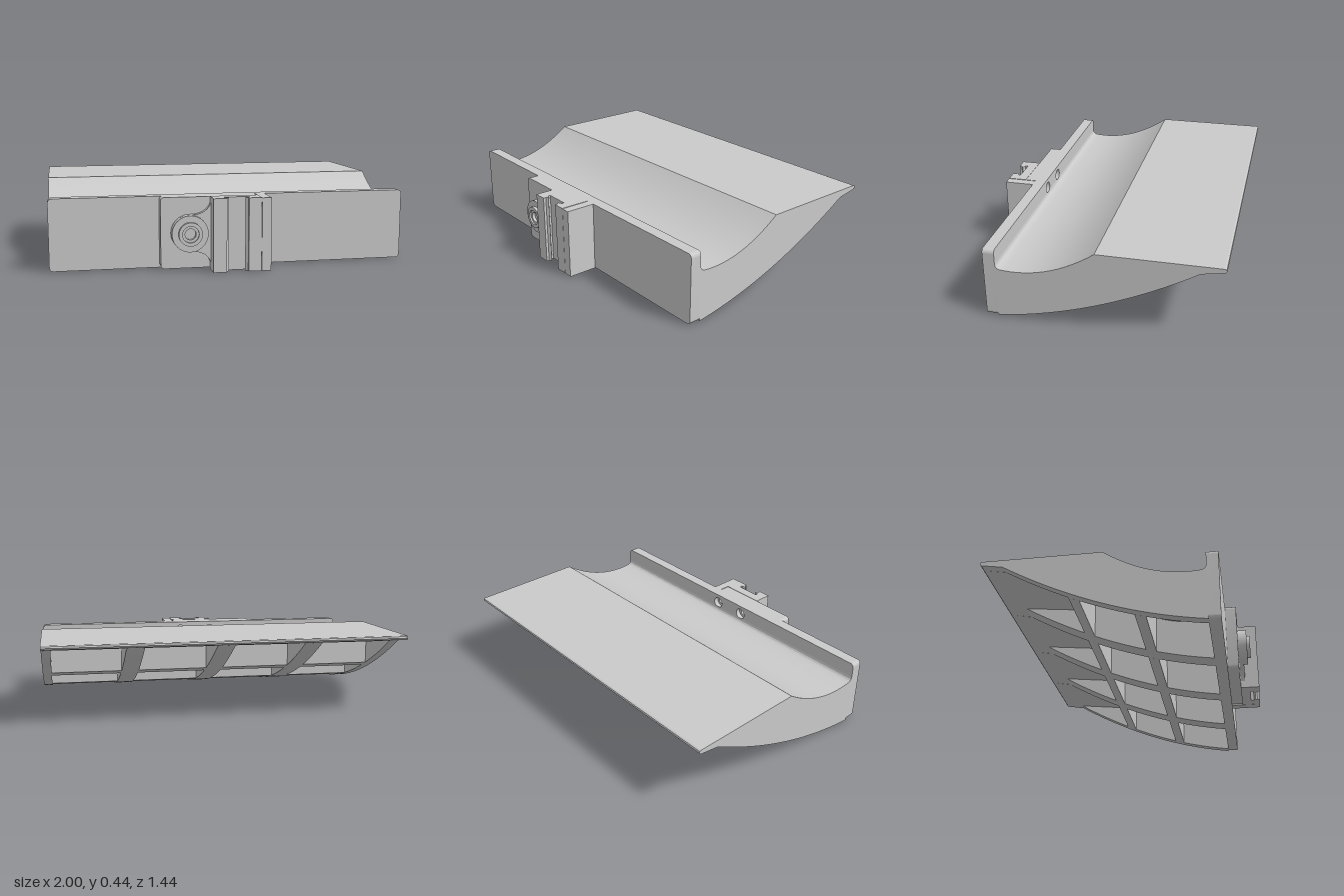
import * as THREE from 'three';
import { toCreasedNormals } from 'three/addons/utils/BufferGeometryUtils.js';

const PLATE_BACK = 0.485, PLATE_FRONT = 0.55;

// Heights of the body surfaces at depth z: upper, lower and pocket ceiling
const topY = (z) => (z < -0.053 ? 0.445 : Math.min(0.445, 0.284 + 0.82 * (0.39 - z) ** 2));
const bottomY = (z) => {
  const t = PLATE_BACK - z;
  return 0.004 + 0.13 * t + 0.222 * t * t;
};
const ceilingY = (z) => (z < -0.2 ? 0.4 - 0.11 * (z + 0.59) : topY(z) - 0.047);

// Points [z, y] along a height function
function sample(from, to, n, height) {
  return Array.from({ length: n + 1 }, (_, i) => {
    const z = from + ((to - from) * i) / n;
    return [z, height(z)];
  });
}

// Side profile of the body; notches are [back, front] pocket ranges open to below
function bodyProfile(notches) {
  const pts = [[PLATE_BACK, 0.315], [0.481, 0.301], [0.473, 0.293], ...sample(0.46, -0.052, 24, topY)];
  pts.push([-0.708, 0.445], [-0.717, 0.441], [-0.72, 0.432], [-0.712, 0.422]);
  let z = -0.592;
  for (const [back, front] of notches) {
    if (back > z) pts.push(...sample(z, back, 4, bottomY));
    pts.push(...sample(back, front, 12, ceilingY));
    z = front;
  }
  if (z < PLATE_BACK) pts.push(...sample(z, PLATE_BACK, 24, bottomY));
  return new THREE.Shape(pts.map(([d, y]) => new THREE.Vector2(-d, y)));
}

// Rectangle with its own corner radius on the left and right
function roundedRect(x0, x1, y0, y1, r, rRight = r) {
  const s = new THREE.Shape();
  s.moveTo(x0 + r, y0);
  s.lineTo(x1 - rRight, y0);
  if (rRight) s.absarc(x1 - rRight, y0 + rRight, rRight, -Math.PI / 2, 0);
  s.lineTo(x1, y1 - rRight);
  if (rRight) s.absarc(x1 - rRight, y1 - rRight, rRight, 0, Math.PI / 2);
  s.lineTo(x0 + r, y1);
  s.absarc(x0 + r, y1 - r, r, Math.PI / 2, Math.PI);
  s.lineTo(x0, y0 + r);
  s.absarc(x0 + r, y0 + r, r, Math.PI, Math.PI * 1.5);
  return s;
}

function circlePath(x, y, r) {
  return new THREE.Path().absarc(x, y, r, 0, Math.PI * 2, true);
}

export function createModel() {
  const model = new THREE.Group();
  model.name = 'trayWithRailClamp';
  const grey = new THREE.MeshStandardMaterial({ color: 0xcacaca });
  grey.name = 'plainGrey';

  const add = (name, geometry, parent = model) => {
    const mesh = new THREE.Mesh(toCreasedNormals(geometry, 0.3), grey);
    mesh.name = name;
    parent.add(mesh);
  };
  const extrude = (shape, depth) =>
    new THREE.ExtrudeGeometry(shape, { depth, bevelEnabled: false, curveSegments: 16 });
  const frontExtrude = (shape, z0, z1) => extrude(shape, z1 - z0).translate(0, 0, z0);

  // Curved body: lengthwise ribs alternating with pocketed spans
  const body = new THREE.Group();
  body.name = 'body';
  model.add(body);
  const solid = bodyProfile([]);
  const pocketed = bodyProfile([[-0.592, -0.24], [-0.18, 0.11], [0.17, PLATE_BACK]]);
  const span = (name, shape, x0, x1) =>
    add(name, extrude(shape, x1 - x0).rotateY(Math.PI / 2).translate(x0, 0, 0), body);
  for (let i = 0; i < 5; i++) {
    const x = -1 + i * 0.5;
    span('lengthwiseRib', solid, Math.max(-1, x - 0.05), Math.min(1, x + 0.05));
    if (i < 4) span('pocketedSpan', pocketed, x + 0.05, x + 0.45);
  }

  // Upright front plate with four screw holes
  const plate = roundedRect(-1, 1, 0.004, 0.4, 0.022);
  for (const x of [-0.11, 0.09]) {
    for (const y of [0.065, 0.345]) {
      plate.holes.push(circlePath(x, y, 0.034));
      const ring = new THREE.Shape().absarc(x, y, 0.034, 0, Math.PI * 2);
      ring.holes.push(circlePath(x, y, 0.018));
      add('screwSeat', frontExtrude(ring, 0.515, PLATE_FRONT));
    }
  }
  add('frontPlate', frontExtrude(plate, PLATE_BACK, PLATE_FRONT));

  // Clamp base and fixed side jaw
  const clamp = new THREE.Group();
  clamp.name = 'railClamp';
  model.add(clamp);
  add('clampBase', frontExtrude(roundedRect(-0.405, 0.128, 0.008, 0.4, 0.02, 0), PLATE_FRONT, 0.613), clamp);
  add('sideJaw', new THREE.BoxGeometry(0.052, 0.4, 0.17).translate(0.159, 0.2, 0.635), clamp);

  // Grooved rail, drawn in plan and extruded upwards
  const groove = [[0.06, 0.72], [0.06, 0.705], [0.045, 0.695], [0.06, 0.685], [0.07, 0.685], [0.07, 0.668]];
  const plan = [
    [-0.134, 0.613], [0.131, 0.613], [0.131, 0.72], ...groove,
    ...groove.map(([x, z]) => [-x, z]).reverse(), [-0.134, 0.72],
  ];
  const rail = new THREE.Shape(plan.map(([x, z]) => new THREE.Vector2(x, -z)));
  add('groovedRail', extrude(rail, 0.402).rotateX(-Math.PI / 2), clamp);

  // Flared tab joining the boss to the rail
  const tab = new THREE.Shape();
  tab.moveTo(-0.13, 0.03);
  tab.quadraticCurveTo(-0.15, 0.105, -0.25, 0.105);
  tab.absarc(-0.25, 0.205, 0.1, -Math.PI / 2, Math.PI / 2, true);
  tab.quadraticCurveTo(-0.15, 0.305, -0.13, 0.38);
  add('flaredTab', frontExtrude(tab, 0.613, 0.64), clamp);

  // Stepped bolt boss with a socket
  const steps = [
    [0.1, 0], [0.1, 0.05], [0.065, 0.05], [0.065, 0.068], [0.045, 0.068],
    [0.045, 0.058], [0.03, 0.058], [0.03, 0.04], [0, 0.04],
  ].map(([r, h]) => new THREE.Vector2(r, h));
  add('boltBoss', new THREE.LatheGeometry(steps, 40).rotateX(Math.PI / 2).translate(-0.25, 0.205, 0.613), clamp);

  return model;
}
